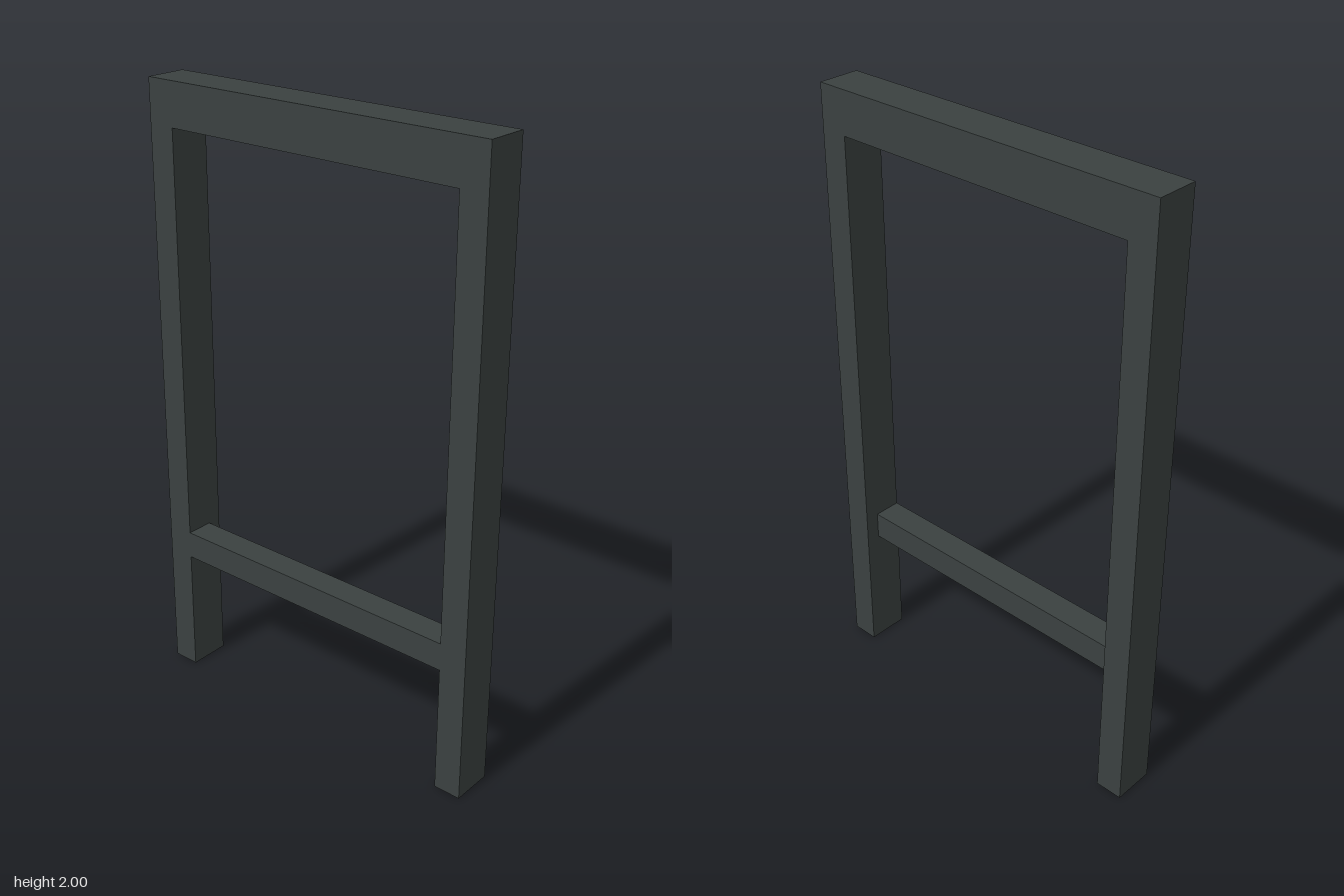
import * as THREE from 'three';

export function createModel() {
  const group = new THREE.Group();
  const charcoal = new THREE.MeshStandardMaterial({ color: 0x3b4140 });
  charcoal.name = 'charcoal';

  const height = 2, halfDepth = 0.603, innerDepth = 0.513, width = 0.138, beamBottom = 1.862;

  // Two legs and the top beam as one continuous portal
  const outline = [
    [-halfDepth, 0], [-innerDepth, 0], [-innerDepth, beamBottom], [innerDepth, beamBottom],
    [innerDepth, 0], [halfDepth, 0], [halfDepth, height], [-halfDepth, height],
  ];
  const shape = new THREE.Shape(outline.map(([z, y]) => new THREE.Vector2(z, y)));
  const portal = new THREE.ExtrudeGeometry(shape, { depth: width, bevelEnabled: false });
  portal.translate(0, 0, -width / 2).rotateY(Math.PI / 2);
  const frame = new THREE.Mesh(portal, charcoal);
  frame.name = 'legFrame';
  group.add(frame);

  // Lower stretcher, narrower than the legs and flush with their right side
  const barSize = 0.091;
  const stretcher = new THREE.Mesh(new THREE.BoxGeometry(barSize, barSize, innerDepth * 2), charcoal);
  stretcher.position.set(-width / 2 + barSize / 2, 0.468, 0);
  stretcher.name = 'stretcher';
  group.add(stretcher);

  return group;
}
